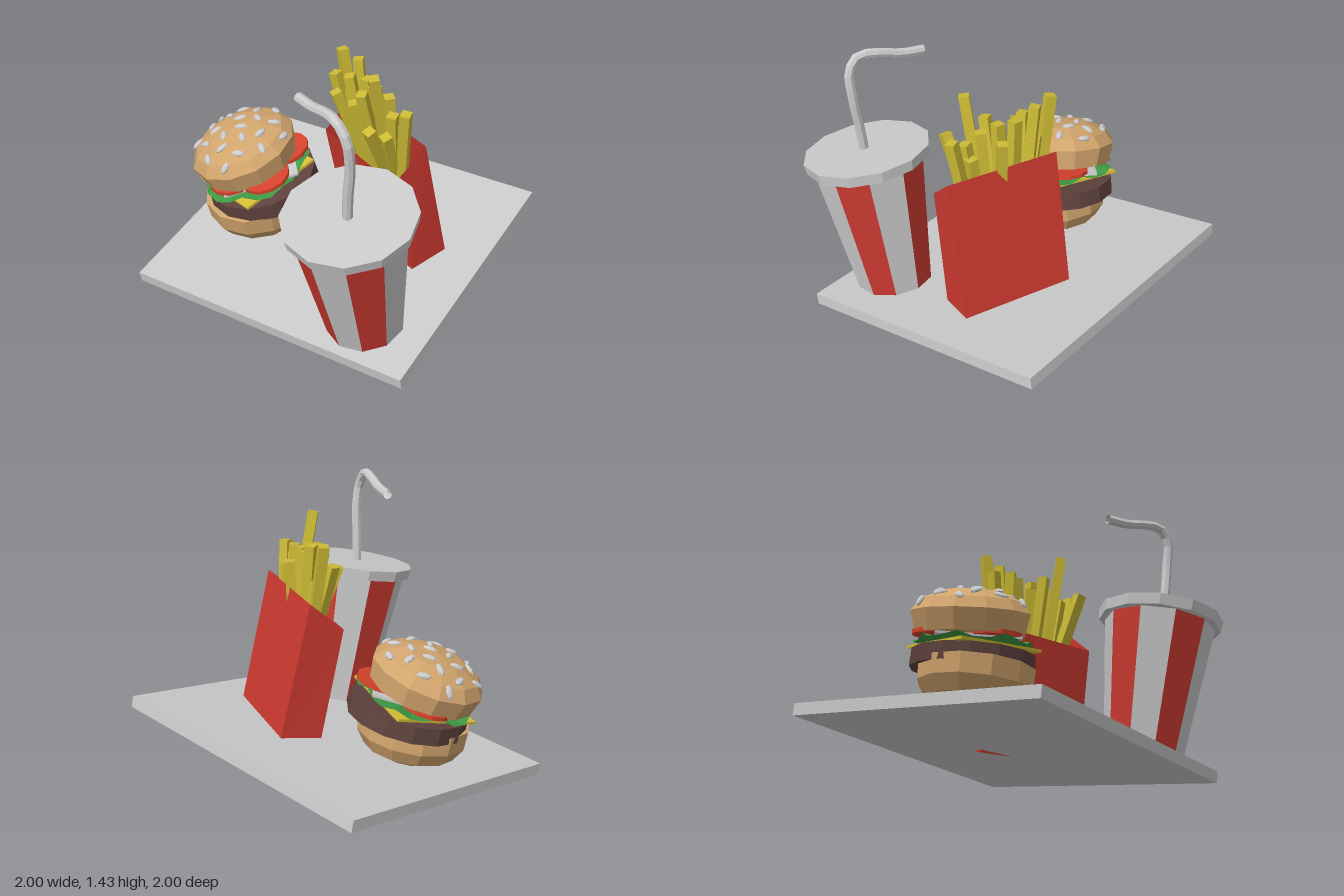
import * as THREE from 'three';

const V = (x, y, z) => new THREE.Vector3(x, y, z);
const UP = V(0, 1, 0);
const mat = (color, double) => new THREE.MeshStandardMaterial({
  color, flatShading: true, side: double ? THREE.DoubleSide : THREE.FrontSide });
const GREY = mat(0xcccccc), GREY2 = mat(0xcccccc, true), RED = mat(0xcc3a30, true), BUN = mat(0xd2a56d),
  PATTY = mat(0x5e423d), CHEESE = mat(0xd8c236), LETTUCE = mat(0x3f9a45, true),
  TOMATO = mat(0xd8432c), FRY = mat(0xccba35);

function add(parent, name, geometry, material, pos) {
  const m = new THREE.Mesh(geometry, material);
  m.name = name;
  if (pos) m.position.copy(pos);
  parent.add(m);
  return m;
}

// group standing at pos with its y axis leaning along axis
function leaning(parent, name, pos, axis) {
  const g = new THREE.Group();
  g.name = name;
  g.position.copy(pos);
  g.quaternion.setFromUnitVectors(UP, axis.clone().normalize());
  parent.add(g);
  return g;
}

const lathe = (pts, sides) => new THREE.LatheGeometry(pts.map(p => new THREE.Vector2(...p)), sides);

// tilted square board
function buildTray(root) {
  const w = V(-0.5, -0.235, 1.3).normalize();
  const n = w.clone().cross(V(1.49, 0.08, 0.6)).normalize();
  const u = n.clone().cross(w);
  const tray = add(root, 'tray', new THREE.BoxGeometry(1.607, 0.06, 1.412), GREY);
  tray.quaternion.setFromRotationMatrix(new THREE.Matrix4().makeBasis(u, n, w));
  tray.position.set(-0.003, 0.188, -0.05);
}

// striped paper cup with lid and bent straw
function buildCup(root) {
  const cup = leaning(root, 'cup', V(0.265, 0.115, 0.54), V(-0.082, 1, 0.18));
  const h = 0.765, step = Math.PI / 5;
  for (let k = 0; k < 10; k++) {
    const panel = new THREE.CylinderGeometry(0.285, 0.19, h, 1, 1, true,
      THREE.MathUtils.degToRad(42) - k * step, step);
    add(cup, 'cupPanel', panel, k % 2 ? RED : GREY2, V(0, h / 2, 0));
  }
  const bottom = add(cup, 'cupBottom', new THREE.CircleGeometry(0.19, 10, THREE.MathUtils.degToRad(12)), GREY2, V(0, 0.005, 0));
  bottom.rotation.x = Math.PI / 2;
  const lid = add(cup, 'lid', new THREE.CylinderGeometry(0.322, 0.314, 0.055, 12), GREY, V(0, h + 0.015, 0));
  lid.rotation.y = THREE.MathUtils.degToRad(7);

  const path = new THREE.CatmullRomCurve3([V(0.195, 0.86, 0.695), V(0.2, 1.02, 0.71), V(0.212, 1.2, 0.728),
    V(0.198, 1.33, 0.74), V(0.155, 1.395, 0.71), V(0.09, 1.393, 0.635), V(0.01, 1.363, 0.55), V(-0.075, 1.353, 0.465)]);
  add(root, 'straw', new THREE.TubeGeometry(path, 18, 0.025, 8), GREY2);
}

// open carton with a tall back and a low front, filled with fries
function buildFries(root) {
  const g = new THREE.Group();
  g.name = 'friesCarton';
  root.add(g);
  const corners = [
    0.16, 0.245, -0.37, 0.585, 0.25, 0.04, 0.44, 0.2, 0.19, 0.015, 0.17, -0.22,
    0.04, 0.965, -0.25, 0.47, 0.965, 0.16, 0.34, 0.81, 0.28, -0.08, 0.81, -0.12];
  const index = [0, 1, 2, 0, 2, 3];
  for (let a = 0; a < 4; a++) {
    const b = (a + 1) % 4;
    index.push(b, a, a + 4, b, a + 4, b + 4);
  }
  let carton = new THREE.BufferGeometry();
  carton.setAttribute('position', new THREE.Float32BufferAttribute(corners, 3));
  carton.setIndex(index);
  carton = carton.toNonIndexed();
  carton.computeVertexNormals();
  add(g, 'carton', carton, RED);

  const tips = [
    [-0.01, 1.25, -0.2], [-0.035, 1.14, -0.15], [0.08, 1.23, -0.15], [-0.01, 1.1, -0.03], [0.14, 1.17, -0.07],
    [0.05, 1.17, -0.08], [0.25, 1.1, -0.04], [0.19, 1.17, 0], [0.14, 1.17, 0.08], [0.27, 1.16, 0.06],
    [0.33, 1.04, 0.09], [0.37, 1.14, 0.17], [0.21, 1.31, 0.16], [0.21, 1.08, 0.26], [0.3, 1.1, 0.13],
    [0.09, 1.08, 0.02], [0.28, 1.02, 0.2], [0.04, 1.05, -0.16]];
  const along = V(0.72, 0, 0.69);
  const centre = y => V(0.3 - 0.16 * (y - 0.22), y, -0.09 + 0.17 * (y - 0.22));
  tips.forEach((t, i) => {
    const tip = V(...t);
    const offset = tip.clone().sub(centre(tip.y)).dot(along);
    const base = centre(0.6).addScaledVector(along, offset * 0.65);
    const dir = tip.clone().sub(base);
    const fry = leaning(g, 'fry', base.add(tip).multiplyScalar(0.5), dir);
    add(fry, 'fryStick', new THREE.BoxGeometry(0.05, dir.length(), 0.05), FRY).rotation.y = 0.6 + i * 0.5;
  });
}

// leaning stack of buns and fillings
function buildBurger(root) {
  const g = new THREE.Group();
  g.name = 'burger';
  root.add(g);

  const low = leaning(g, 'bottomBun', V(-0.43, 0.19, -0.14), V(-0.13, 1, 0.13));
  add(low, 'bottomBunBody', lathe([[0, 0], [0.13, 0.01], [0.23, 0.055], [0.275, 0.125], [0.28, 0.22], [0, 0.22]], 12), BUN);

  const patty = leaning(g, 'patty', V(-0.43, 0.445, -0.14), V(-0.2, 1, 0.12));
  add(patty, 'pattyDisc', new THREE.CylinderGeometry(0.295, 0.3, 0.085, 14), PATTY);

  // thin layers, drawn in a frame that tilts more than the patty
  const fill = leaning(g, 'fillings', V(-0.46, 0.505, -0.13), V(-0.26, 1, 0.12));
  const yellow = add(fill, 'cheeseSlice', new THREE.BoxGeometry(0.45, 0.014, 0.45), CHEESE);
  yellow.rotation.y = Math.PI / 4 + 0.1;
  const leaf = new THREE.CircleGeometry(0.285, 24);
  leaf.rotateX(-Math.PI / 2);
  const p = leaf.attributes.position;
  for (let i = 1; i < p.count; i++) {
    const a = (i - 1) / 24 * Math.PI * 2;
    const s = 1 + 0.06 * Math.sin(a * 5);
    p.setXYZ(i, p.getX(i) * s, 0.016 * Math.cos(a * 8), p.getZ(i) * s);
  }
  add(fill, 'lettuce', leaf, LETTUCE, V(0, 0.022, 0));
  const white = add(fill, 'paleSlice', new THREE.BoxGeometry(0.4, 0.012, 0.4), GREY, V(0.02, 0.038, 0));
  white.rotation.y = 0.35;
  for (const [x, y, z] of [[0.16, 0.055, -0.08], [-0.08, 0.05, 0.12], [-0.1, 0.05, -0.14], [0.1, 0.05, 0.13]])
    add(fill, 'tomatoSlice', new THREE.CylinderGeometry(0.13, 0.13, 0.02, 12), TOMATO, V(x, y, z));

  // domed bun with seeds set along its profile
  const dome = [[0, 0], [0.265, 0], [0.287, 0.1], [0.245, 0.155], [0.15, 0.2], [0, 0.22]];
  const top = leaning(g, 'topBun', V(-0.495, 0.562, -0.14), V(-0.35, 1, 0.12));
  add(top, 'topBunBody', lathe(dome, 12), BUN);
  const seed = new THREE.SphereGeometry(1, 8, 6).scale(0.036, 0.013, 0.018);
  for (let i = 0; i < 22; i++) {
    const r = 0.265 * Math.sqrt((i + 0.5) / 22), a = i * 2.4;
    let k = 2;
    while (dome[k + 1][0] > r) k++;
    const [r0, y0] = dome[k], [r1, y1] = dome[k + 1];
    const y = y0 + (y1 - y0) * (r0 - r) / (r0 - r1);
    const normal = V(Math.cos(a) * (y1 - y0), r0 - r1, Math.sin(a) * (y1 - y0));
    const holder = leaning(top, 'seed', V(Math.cos(a) * r, y, Math.sin(a) * r), normal);
    add(holder, 'seedGrain', seed, GREY).rotation.y = i * 1.7;
  }
}

export function createModel() {
  const root = new THREE.Group();
  root.name = 'fastFoodMeal';
  buildTray(root);
  buildCup(root);
  buildFries(root);
  buildBurger(root);
  return root;
}
